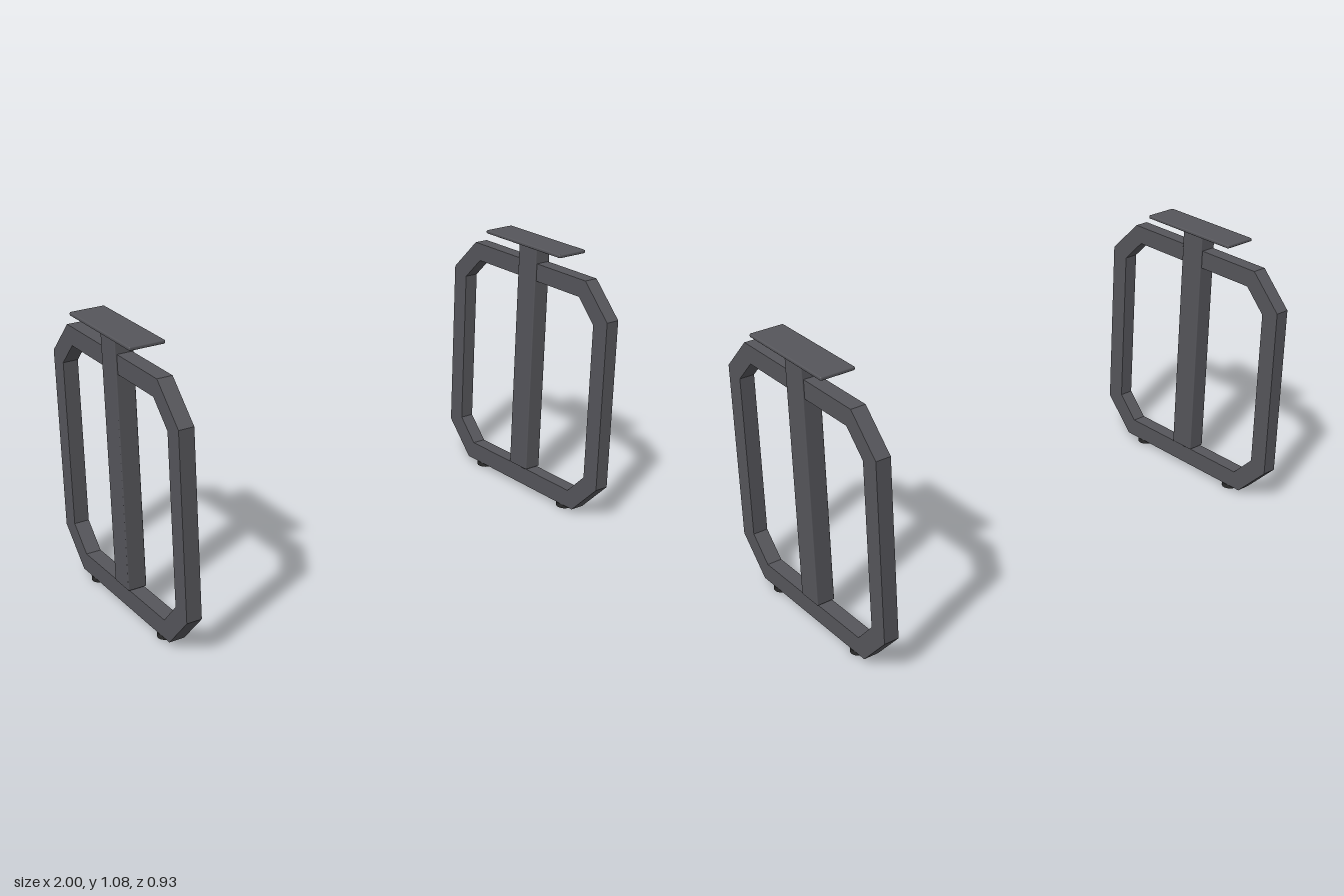
import * as THREE from 'three';
import { RoundedBoxGeometry } from 'three/addons/geometries/RoundedBoxGeometry.js';

const steel = new THREE.MeshStandardMaterial({ color: 0x55555a });
const rubber = new THREE.MeshStandardMaterial({ color: 0x2a2a2a });

// Points of a rectangle with cut corners
function octagon(halfWidth, bottom, top, cutX, cutY) {
  const w = halfWidth, c = w - cutX;
  return [
    [c, bottom], [w, bottom + cutY], [w, top - cutY], [c, top],
    [-c, top], [-w, top - cutY], [-w, bottom + cutY], [-c, bottom],
  ].map(([x, y]) => new THREE.Vector2(x, y));
}

function part(name, geometry, material, x = 0, y = 0, z = 0) {
  const mesh = new THREE.Mesh(geometry, material);
  mesh.name = name;
  mesh.position.set(x, y, z);
  return mesh;
}

function createLeg(name) {
  const leg = new THREE.Group();
  leg.name = name;

  // Chamfered tube frame lying in the y-z plane
  const depth = 0.058;
  const shape = new THREE.Shape(octagon(0.465, 0.018, 0.992, 0.132, 0.135));
  shape.holes.push(new THREE.Path(octagon(0.39, 0.092, 0.92, 0.088, 0.091).reverse()));
  const frame = new THREE.ExtrudeGeometry(shape, { depth, bevelEnabled: false });
  frame.translate(0, 0, -depth / 2).rotateY(Math.PI / 2);
  leg.add(part('frame', frame, steel));

  // Central post, slightly thicker than the frame
  leg.add(part('post', new RoundedBoxGeometry(0.072, 0.97, 0.104, 2, 0.004), steel, 0, 0.579));

  // Mounting plate on top
  leg.add(part('topPlate', new RoundedBoxGeometry(0.134, 0.014, 0.447, 2, 0.005), steel, 0, 1.068));

  // Round feet
  for (const side of [1, -1]) {
    leg.add(part(side > 0 ? 'frontFoot' : 'backFoot',
      new THREE.CylinderGeometry(0.032, 0.032, 0.018, 32), rubber, 0, 0.009, side * 0.256));
  }
  return leg;
}

export function createModel() {
  const model = new THREE.Group();
  model.name = 'tableLegs';
  for (const side of [1, -1]) {
    const leg = createLeg(side > 0 ? 'leftLeg' : 'rightLeg');
    leg.position.x = side * 0.933;
    model.add(leg);
  }
  return model;
}
